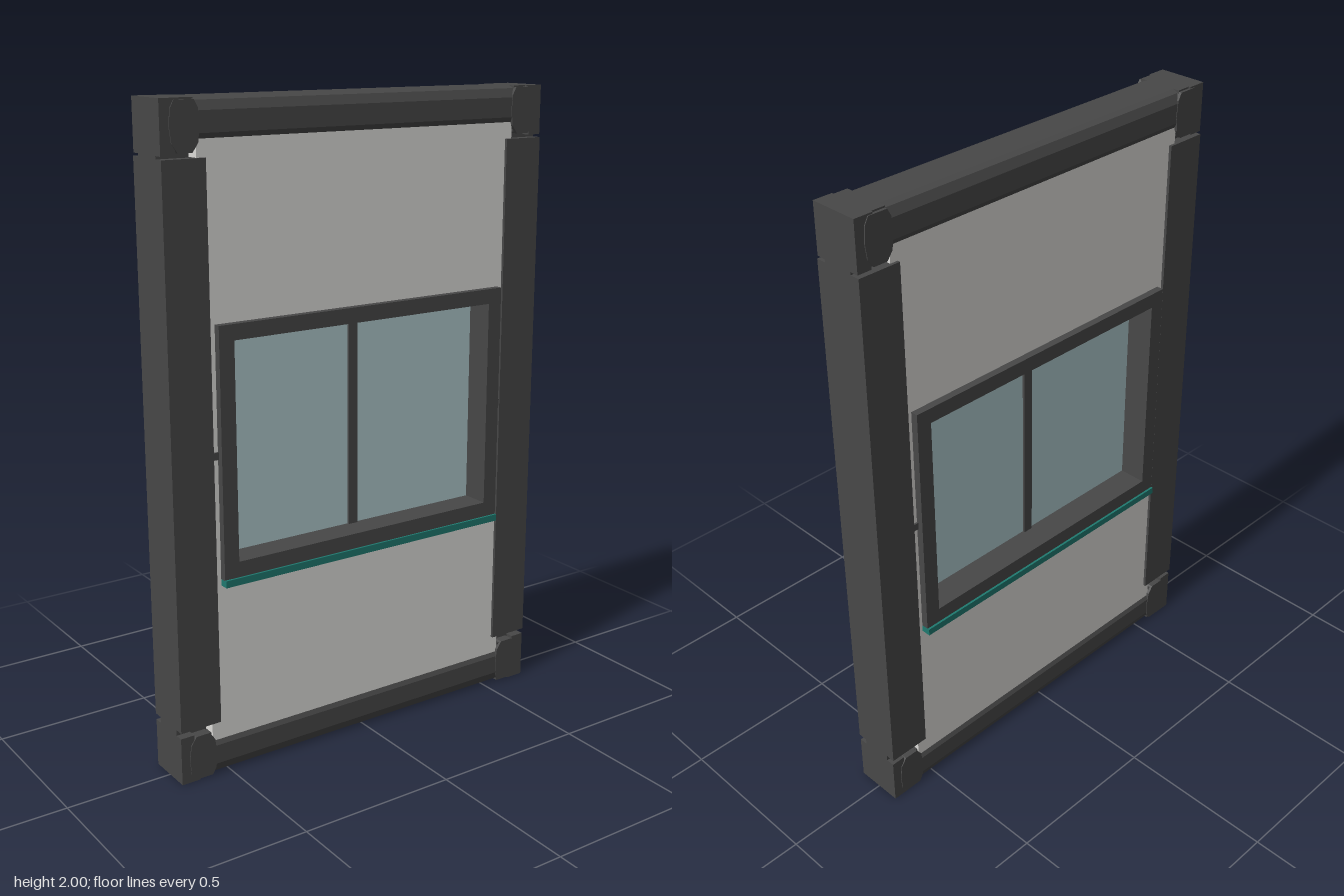
import * as THREE from 'three';

const material = (name, color, side = THREE.FrontSide) => {
  const m = new THREE.MeshStandardMaterial({ color, side });
  m.name = name;
  return m;
};

// Rectangle outline given by its edges
const rect = (x0, x1, y0, y1, Type = THREE.Shape) => {
  const s = new Type();
  s.moveTo(x0, y0);
  s.lineTo(x1, y0);
  s.lineTo(x1, y1);
  s.lineTo(x0, y1);
  s.closePath();
  return s;
};

// Extrusion centred on z = 0
const slab = (shape, depth) =>
  new THREE.ExtrudeGeometry(shape, { depth, bevelEnabled: false, curveSegments: 6 }).translate(0, 0, -depth / 2);

export function createModel() {
  const model = new THREE.Group();
  model.name = 'windowWallPanel';
  const dark = material('dark grey metal', 0x484848);
  const white = material('white panel', 0xdedddA);
  const glassBlue = material('pale blue glass', 0xb0cace);
  const teal = material('teal trim', 0x1f7a70);

  const add = (name, geometry, mat) => {
    const mesh = new THREE.Mesh(geometry, mat);
    mesh.name = name;
    model.add(mesh);
    return mesh;
  };
  const box = (name, mat, x0, x1, y0, y1, z0, z1) =>
    add(name, new THREE.BoxGeometry(x1 - x0, y1 - y0, z1 - z0)
      .translate((x0 + x1) / 2, (y0 + y1) / 2, (z0 + z1) / 2), mat);

  // White wall panel with the window opening
  const wall = rect(-0.555, 0.555, 0.1, 1.9);
  wall.holes.push(rect(-0.48, 0.48, 0.65, 1.35, THREE.Path));
  add('wallPanel', slab(wall, 0.144), white);

  // Deep window frame, glass and mullion
  const frame = rect(-0.512, 0.512, 0.622, 1.38);
  frame.holes.push(rect(-0.463, 0.463, 0.672, 1.333, THREE.Path));
  add('windowFrame', slab(frame, 0.19), dark);
  box('glass', glassBlue, -0.47, 0.47, 0.66, 1.34, -0.004, 0.004);
  box('mullion', dark, -0.016, 0.016, 0.67, 1.335, -0.012, 0.012);

  // Teal sill strips below the window, front and back
  box('sillFront', teal, -0.512, 0.512, 0.602, 0.624, 0.06, 0.102);
  box('sillBack', teal, -0.512, 0.512, 0.602, 0.624, -0.102, -0.06);

  // Side posts with small latches
  for (const s of [-1, 1]) {
    const side = s > 0 ? 'left' : 'right';
    box(side + 'Post', dark, s * 0.5975 - 0.0675, s * 0.5975 + 0.0675, 0.17, 1.84, -0.081, 0.081);
    box(side + 'Latch', dark, s * 0.523 - 0.012, s * 0.523 + 0.012, 0.988, 1.01, -0.078, 0.078);
  }

  // Rail cross-section: z outward, y measured from the outer edge inward
  const railShape = new THREE.Shape([
    [-0.05, 0], [0.05, 0], [0.068, 0.008], [0.079, 0.035], [0.079, 0.095], [0.066, 0.122],
    [-0.066, 0.122], [-0.079, 0.095], [-0.079, 0.035], [-0.068, 0.008],
  ].map(([z, y]) => new THREE.Vector2(z, y)));

  // Rounded knuckle outline for the corner joints
  const knuckle = new THREE.Shape([
    [-0.03, 0], [0.03, 0], [0.042, 0.022], [0.046, 0.07], [0.04, 0.115], [0.022, 0.14],
    [-0.022, 0.14], [-0.04, 0.115], [-0.046, 0.07], [-0.042, 0.022],
  ].map(([x, y]) => new THREE.Vector2(x, y)));

  for (const top of [false, true]) {
    const end = top ? 'top' : 'bottom';
    // Turning about x keeps the faces outward while flipping the rail
    const half = new THREE.Group();
    half.name = end + 'Assembly';
    if (top) {
      half.rotation.x = Math.PI;
      half.position.y = 2;
    }
    model.add(half);
    const put = (name, geometry) => {
      const mesh = new THREE.Mesh(geometry, dark);
      mesh.name = name;
      half.add(mesh);
    };
    put(end + 'Rail', slab(railShape, 1.2).rotateY(Math.PI / 2));

    for (const s of [-1, 1]) {
      // Corner block and the narrow neck joining it to the post
      put('cornerBlock', new THREE.BoxGeometry(0.105, 0.14, 0.144).translate(s * 0.6125, 0.07, 0));
      put('cornerNeck', new THREE.BoxGeometry(0.1, 0.05, 0.1).translate(s * 0.615, 0.15, 0));
      // Front and back knuckles, split by a thin seam
      for (const f of [-1, 1]) {
        put('cornerKnuckle', slab(knuckle, 0.077).translate(s * 0.592, 0.005, f * 0.0425));
        put('cornerCheek', new THREE.BoxGeometry(0.045, 0.146, 0.075).translate(s * 0.6425, 0.078, f * 0.0405));
      }
      put('cornerFoot', new THREE.BoxGeometry(0.06, 0.03, 0.156).translate(s * 0.635, 0.015, 0));
    }
  }
  return model;
}
